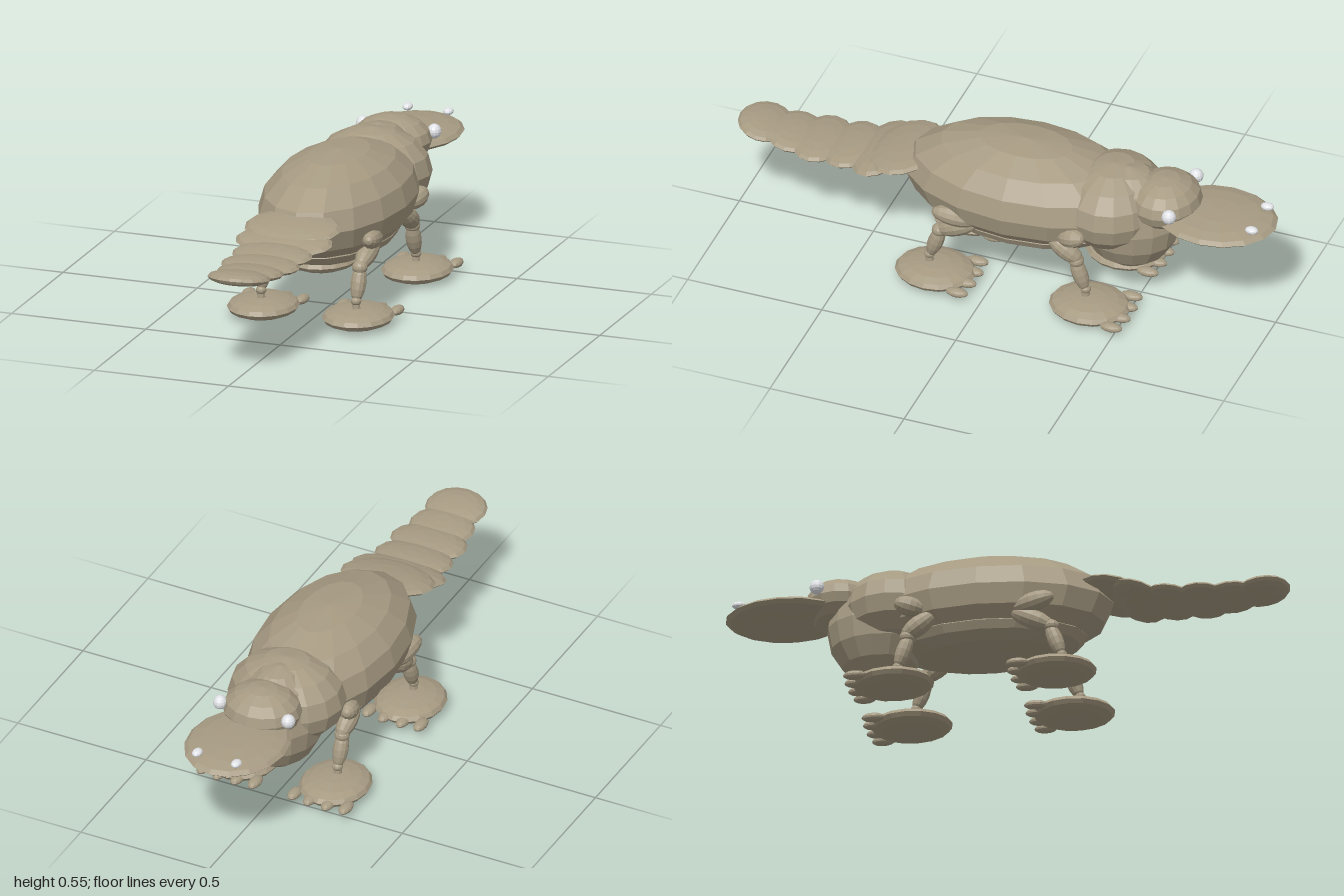
import * as THREE from 'three';

const fur = new THREE.MeshStandardMaterial({ color: 0xa69a82, flatShading: true });
fur.name = 'tan fur';
const pale = new THREE.MeshStandardMaterial({ color: 0xe6e8ec, flatShading: true });
pale.name = 'pale eye';

// Faceted ellipsoid, pitched about x
function ellipsoid(name, [x, y, z], [rx, ry, rz], pitch = 0, material = fur, w = 16, h = 8) {
  const mesh = new THREE.Mesh(new THREE.SphereGeometry(1, w, h), material);
  mesh.name = name;
  mesh.position.set(x, y, z);
  mesh.scale.set(rx, ry, rz);
  mesh.rotation.x = pitch;
  return mesh;
}

// Ellipsoid stretched between two points
function limb(name, a, b, r) {
  const start = new THREE.Vector3(...a), end = new THREE.Vector3(...b);
  const dir = end.clone().sub(start);
  const mid = start.add(end).multiplyScalar(0.5);
  const mesh = ellipsoid(name, mid.toArray(), [r, dir.length() / 2, r], 0, fur, 12, 8);
  mesh.quaternion.setFromUnitVectors(new THREE.Vector3(0, 1, 0), dir.normalize());
  return mesh;
}

// Leg: three limb sections, joints, ankle peg, webbed foot and four toes
function leg(name, side, j) {
  const g = new THREE.Group();
  g.name = name;
  const p = (x, [z, y]) => [side * x, y, z];
  g.add(limb('hip', p(0.213, j.hipTop), p(0.183, j.hipEnd), 0.036));
  g.add(limb('thigh', p(0.183, j.thighTop), p(0.176, j.thighEnd), 0.035));
  g.add(ellipsoid('knee', p(0.177, j.knee), [0.028, 0.024, 0.028], 0, fur, 12, 8));
  g.add(limb('shin', p(0.177, j.shinTop), p(0.177, j.shinEnd), 0.028));
  g.add(ellipsoid('ankle', p(0.177, j.ankle), [0.019, 0.016, 0.019], 0, fur, 12, 8));
  const peg = new THREE.Mesh(new THREE.CylinderGeometry(0.013, 0.018, 0.04, 8), fur);
  peg.name = 'anklePeg';
  peg.position.set(side * 0.177, 0.077, j.ankle[0]);
  g.add(peg);
  g.add(ellipsoid('foot', [side * 0.177, 0.039, j.footZ], [0.125, 0.037, 0.145]));
  for (const dx of [-0.1, -0.035, 0.035, 0.1]) {
    const dz = Math.abs(dx) > 0.05 ? 0.118 : 0.125;
    g.add(ellipsoid('toe', [side * 0.177 + dx, 0.036, j.footZ - dz], [0.022, 0.016, 0.041], 0, fur, 12, 8));
  }
  return g;
}

export function createModel() {
  const model = new THREE.Group();
  model.name = 'platypus';

  // Trunk and head
  model.add(ellipsoid('body', [0, 0.366, -0.07], [0.253, 0.187, 0.445]));
  model.add(ellipsoid('belly', [0, 0.25, -0.07], [0.198, 0.074, 0.35]));
  model.add(ellipsoid('shoulders', [0, 0.375, -0.4], [0.213, 0.157, 0.185]));
  model.add(ellipsoid('chest', [0, 0.33, -0.455], [0.158, 0.2, 0.185]));
  model.add(ellipsoid('head', [0, 0.43, -0.59], [0.142, 0.09, 0.128]));
  model.add(ellipsoid('bill', [0, 0.4, -0.78], [0.179, 0.032, 0.22]));

  // Eyes and nostrils
  for (const s of [-1, 1]) {
    model.add(ellipsoid('eye', [s * 0.133, 0.453, -0.653], [0.025, 0.026, 0.026], 0, pale, 12, 8));
    model.add(ellipsoid('nostril', [s * 0.076, 0.433, -0.94], [0.018, 0.013, 0.024], 0, pale, 12, 8));
  }

  // Tail: overlapping flat sections of y, z, rx, rz, pitch
  const tail = new THREE.Group();
  tail.name = 'tail';
  [
    [0.394, 0.375, 0.174, 0.13, 0.16],
    [0.368, 0.46, 0.178, 0.105, 0.2],
    [0.354, 0.575, 0.146, 0.1, 0.08],
    [0.35, 0.69, 0.143, 0.1, 0],
    [0.354, 0.79, 0.12, 0.1, -0.1],
    [0.368, 0.9, 0.112, 0.098, -0.15],
  ].forEach(([y, z, rx, rz, a]) => tail.add(ellipsoid('tailSection', [0, y, z], [rx, 0.026, rz], a)));
  model.add(tail);

  // Joint positions as [z, y]
  const front = {
    hipTop: [-0.365, 0.335], hipEnd: [-0.26, 0.305],
    thighTop: [-0.225, 0.295], thighEnd: [-0.345, 0.21],
    knee: [-0.325, 0.212], shinTop: [-0.315, 0.225], shinEnd: [-0.36, 0.095],
    ankle: [-0.36, 0.1], footZ: -0.375,
  };
  const hind = {
    hipTop: [0.2, 0.315], hipEnd: [0.04, 0.285],
    thighTop: [0.04, 0.28], thighEnd: [0.195, 0.21],
    knee: [0.185, 0.212], shinTop: [0.175, 0.225], shinEnd: [0.222, 0.095],
    ankle: [0.222, 0.1], footZ: 0.2,
  };
  for (const [s, label] of [[1, 'Left'], [-1, 'Right']]) {
    model.add(leg('front' + label + 'Leg', s, front));
    model.add(leg('hind' + label + 'Leg', s, hind));
  }
  return model;
}
